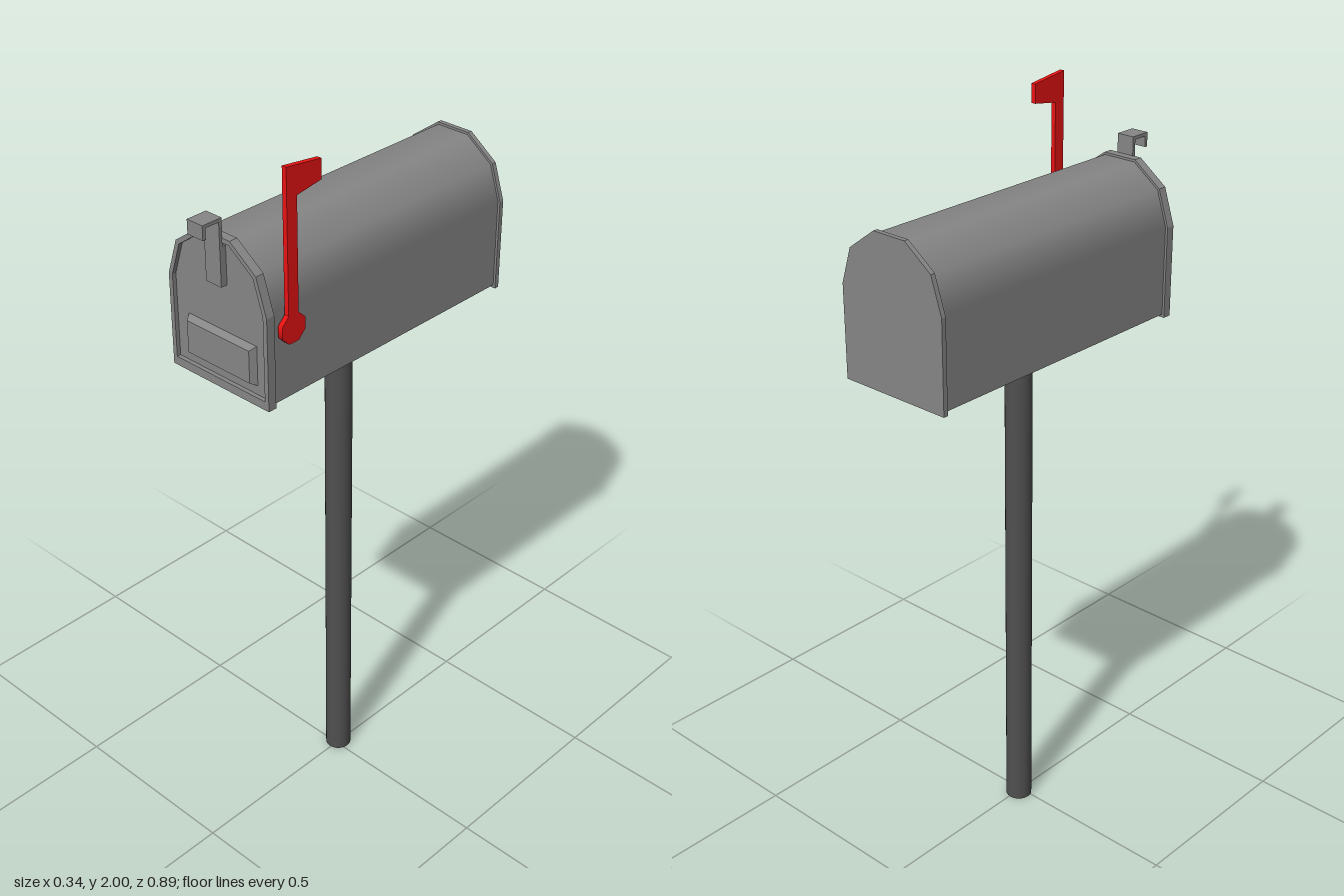
import * as THREE from 'three';

const CX = -0.007;      // centre line of the box
const ARC_Y = 1.648;    // height where the walls meet the rounded roof

const grey = new THREE.MeshStandardMaterial({ color: 0x868686 });
const charcoal = new THREE.MeshStandardMaterial({ color: 0x505050 });
const red = new THREE.MeshStandardMaterial({ color: 0xea1212 });

function add(parent, name, geometry, material, x = 0, y = 0, z = 0) {
  const mesh = new THREE.Mesh(geometry, material);
  mesh.name = name;
  mesh.position.set(x, y, z);
  parent.add(mesh);
  return mesh;
}

// Straight walls topped by a five-sided half circle
function archPoints(r, bottom) {
  const pts = [new THREE.Vector2(-r, bottom), new THREE.Vector2(r, bottom)];
  for (let i = 0; i <= 5; i++) {
    const a = (i / 5) * Math.PI;
    pts.push(new THREE.Vector2(r * Math.cos(a), ARC_Y + r * Math.sin(a)));
  }
  return pts;
}

function extrude(shape, depth) {
  return new THREE.ExtrudeGeometry(shape, { depth, bevelEnabled: false });
}

// Side outline given as [z, y] pairs, extruded along +x
function extrudeSide(points, width) {
  const shape = new THREE.Shape(points.map(([z, y]) => new THREE.Vector2(-z, y)));
  return extrude(shape, width).rotateY(Math.PI / 2);
}

function box(x0, x1, y0, y1, z0, z1) {
  return new THREE.BoxGeometry(x1 - x0, y1 - y0, z1 - z0)
    .translate((x0 + x1) / 2, (y0 + y1) / 2, (z0 + z1) / 2);
}

export function createModel() {
  const model = new THREE.Group();
  model.name = 'mailbox';

  // Post
  add(model, 'post', new THREE.CylinderGeometry(0.036, 0.036, 1.411, 20), charcoal, -0.004, 0.7055, -0.012);

  // Body: smooth roof over straight walls
  const body = new THREE.Group();
  body.name = 'body';
  body.position.x = CX;
  model.add(body);
  const z0 = -0.44, z1 = 0.372, r = 0.156;
  const roof = new THREE.CylinderGeometry(r, r, z1 - z0, 5, 1, false, Math.PI / 2, Math.PI);
  roof.rotateX(Math.PI / 2);
  add(body, 'roof', roof, grey, 0, ARC_Y, (z0 + z1) / 2);
  add(body, 'walls', box(-r, r, 1.411, ARC_Y, z0, z1), grey);

  // Back plate
  const outline = archPoints(0.1625, 1.403);
  add(body, 'backPlate', extrude(new THREE.Shape(outline), 0.013), grey, 0, 0, -0.447);

  // Front door: raised rim around a sunken panel
  const door = new THREE.Group();
  door.name = 'door';
  body.add(door);
  const inner = archPoints(0.15, 1.426);
  const rim = new THREE.Shape(outline);
  rim.holes.push(new THREE.Path(inner));
  add(door, 'doorRim', extrude(rim, 0.024), grey, 0, 0, 0.367);
  add(door, 'doorPanel', extrude(new THREE.Shape(inner), 0.013), grey, 0, 0, 0.367);

  // Name plate with sloping edges
  const plateX = 0.003, plateY = 1.503;
  const plate = box(plateX - 0.114, plateX + 0.114, plateY - 0.053, plateY + 0.053, 0.379, 0.397);
  const p = plate.attributes.position;
  for (let i = 0; i < p.count; i++) {
    if (p.getZ(i) < 0.39) continue;
    p.setX(i, p.getX(i) - Math.sign(p.getX(i) - plateX) * 0.01);
    p.setY(i, p.getY(i) - Math.sign(p.getY(i) - plateY) * 0.01);
  }
  plate.computeVertexNormals();
  add(door, 'namePlate', plate, grey);

  // Hooked latch, bent from one strip
  const latch = extrudeSide([
    [0.379, 1.68], [0.398, 1.68], [0.398, 1.843], [0.438, 1.843],
    [0.438, 1.815], [0.447, 1.815], [0.447, 1.852], [0.389, 1.852], [0.389, 1.78], [0.379, 1.78],
  ], 0.05);
  add(door, 'latch', latch, grey, -0.025);

  // Signal flag beside the left wall
  const flag = new THREE.Group();
  flag.name = 'flag';
  flag.position.x = 0.154;
  model.add(flag);
  const arm = extrudeSide([
    [0.333, 1.6], [0.301, 1.6], [0.301, 1.924], [0.224, 1.936], [0.224, 1.986], [0.333, 2.0],
  ], 0.013);
  add(flag, 'flagArm', arm, red);
  const hub = new THREE.CylinderGeometry(0.04, 0.04, 0.0136, 8, 1, false, Math.PI / 8);
  hub.rotateZ(Math.PI / 2);
  add(flag, 'flagHub', hub, red, 0.0065, 1.6, 0.317);

  return model;
}
